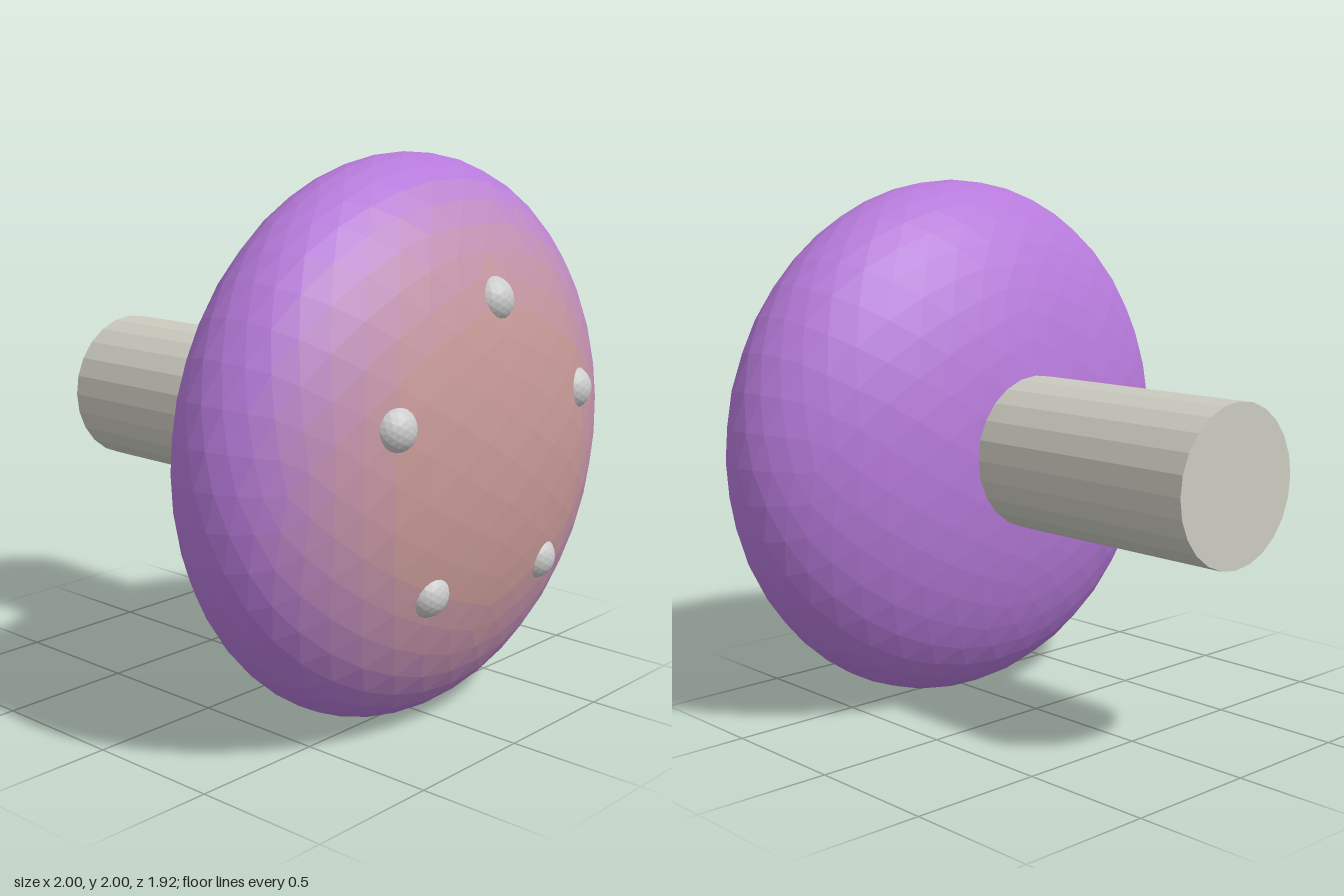
import * as THREE from 'three';

const flat = (color) => new THREE.MeshStandardMaterial({ color, flatShading: true });

// Flattened ball, its facets sorted into bands that fade from violet to a dusky front
function createCap() {
  const cap = new THREE.Group();
  cap.name = 'cap';
  const bands = 10;
  const lists = Array.from({ length: bands }, () => []);
  const ball = new THREE.IcosahedronGeometry(1, 7).toNonIndexed
    ? new THREE.IcosahedronGeometry(1, 7).attributes.position : null;
  for (let i = 0; i < ball.count; i += 3) {
    const z = (ball.getZ(i) + ball.getZ(i + 1) + ball.getZ(i + 2)) / 3;
    const t = THREE.MathUtils.smoothstep(z, 0.2, 1);
    const list = lists[Math.min(bands - 1, Math.floor(t * bands))];
    for (let k = i; k < i + 3; k++) list.push(ball.getX(k), ball.getY(k), ball.getZ(k) * 0.49);
  }
  const violet = new THREE.Color(0xb67ada), dusk = new THREE.Color(0xc89a98);
  lists.forEach((list, i) => {
    const geometry = new THREE.BufferGeometry();
    geometry.setAttribute('position', new THREE.Float32BufferAttribute(list, 3));
    geometry.computeVertexNormals();
    const mesh = new THREE.Mesh(geometry, flat(violet.clone().lerp(dusk, i / (bands - 1))));
    mesh.name = 'capBand' + (i + 1);
    cap.add(mesh);
  });
  cap.position.set(0, 1, 0.472);
  return cap;
}

export function createModel() {
  const model = new THREE.Group();
  model.name = 'cappedStem';
  model.add(createCap());

  // Stem running straight back from the cap
  const stem = new THREE.Mesh(new THREE.CylinderGeometry(0.285, 0.285, 1.16, 24), flat(0xcccbc0));
  stem.name = 'stem';
  stem.rotation.x = Math.PI / 2;
  stem.position.set(0, 1, -0.38);
  model.add(stem);

  // Five studs in a ring, half sunk into the front
  const studGeometry = new THREE.IcosahedronGeometry(0.083, 3);
  const spots = [[0.005, 1.527], [0.495, 1.16], [0.3, 0.577], [-0.315, 0.587], [-0.495, 1.17]];
  spots.forEach(([x, y], i) => {
    const stud = new THREE.Mesh(studGeometry, flat(0xcccccc));
    stud.name = 'stud' + (i + 1);
    stud.position.set(x, y, 0.843);
    model.add(stud);
  });
  return model;
}
